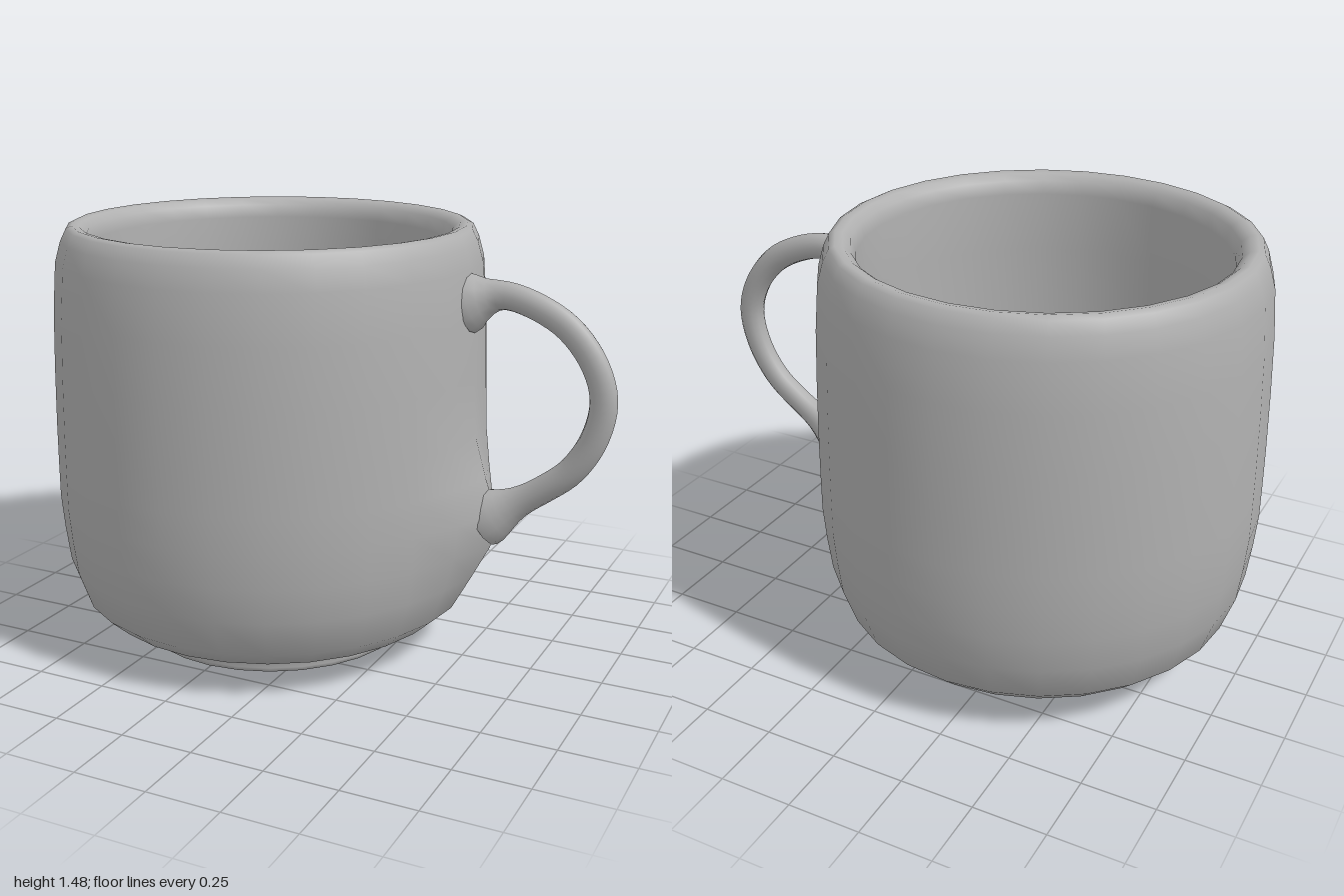
import * as THREE from 'three';
import { mergeVertices } from 'three/addons/utils/BufferGeometryUtils.js';

const CUP_X = -0.24;

// Weld seams and rebuild smooth normals after moving vertices
function smooth(geometry) {
  geometry.deleteAttribute('normal');
  geometry.deleteAttribute('uv');
  const welded = mergeVertices(geometry, 1e-5);
  welded.computeVertexNormals();
  return welded;
}

// Lathed cup wall, foot and interior, swelling outward under the lower handle root
function cupGeometry() {
  const profile = [
    [0, 0], [0.3, 0.004], [0.46, 0.008], [0.485, 0.015], [0.49, 0.03], [0.49, 0.065],
    [0.505, 0.075], [0.55, 0.083], [0.625, 0.11], [0.69, 0.17], [0.735, 0.3],
    [0.75, 0.42], [0.76, 0.54], [0.76, 0.66], [0.759, 0.8], [0.755, 1.0],
    [0.748, 1.2], [0.735, 1.36], [0.715, 1.43], [0.695, 1.47], [0.675, 1.48],
    [0.65, 1.475], [0.625, 1.455], [0.61, 1.41], [0.615, 1.2], [0.62, 0.8],
    [0.615, 0.5], [0.585, 0.32], [0.53, 0.23], [0.46, 0.18], [0.405, 0.12],
    [0.38, 0.055], [0.36, 0.05], [0, 0.05],
  ].map(([r, y]) => new THREE.Vector2(r, y));
  const geometry = new THREE.LatheGeometry(profile, 28);
  const p = geometry.attributes.position;
  for (let i = 0; i < p.count; i++) {
    const x = p.getX(i), y = p.getY(i), z = p.getZ(i);
    if (x < 0 || Math.hypot(x, z) < 0.64) continue;
    const swell = 0.095 * Math.exp(-(((y - 0.5) / 0.19) ** 2) - (z / 0.17) ** 2);
    p.setX(i, x + swell);
  }
  return smooth(geometry);
}

// Slim loop handle whose ends flare into the wall
function handleGeometry() {
  const path = new THREE.CatmullRomCurve3([
    [0.48, 1.255], [0.54, 1.275], [0.61, 1.288], [0.71, 1.265], [0.83, 1.2],
    [0.92, 1.09], [0.955, 0.975], [0.93, 0.845], [0.86, 0.73], [0.77, 0.655],
    [0.68, 0.595], [0.56, 0.52],
  ].map(([x, y]) => new THREE.Vector3(x, y, 0)));
  const steps = 44, sides = 12;
  const geometry = new THREE.TubeGeometry(path, steps, 0.046, sides);
  const p = geometry.attributes.position;
  const v = new THREE.Vector3();
  for (let i = 0; i < p.count; i++) {
    const t = Math.floor(i / (sides + 1)) / steps;
    const centre = path.getPointAt(t);
    const flare = 1 + 1.3 * Math.exp(-((t / 0.055) ** 2)) + 1.2 * Math.exp(-(((1 - t) / 0.08) ** 2));
    v.fromBufferAttribute(p, i).sub(centre).multiplyScalar(flare);
    v.z = v.z * 0.82 + 0.008 * Math.sin(Math.PI * t);
    v.add(centre);
    p.setXYZ(i, v.x, v.y, v.z);
  }
  return smooth(geometry);
}

export function createModel() {
  const glaze = new THREE.MeshStandardMaterial({ color: 0xb0b0b0 });
  glaze.name = 'grey glaze';

  const cup = new THREE.Mesh(cupGeometry(), glaze);
  cup.name = 'cup';
  cup.position.x = CUP_X;

  const handle = new THREE.Mesh(handleGeometry(), glaze);
  handle.name = 'handle';

  const mug = new THREE.Group();
  mug.name = 'mug';
  mug.add(cup, handle);
  return mug;
}
